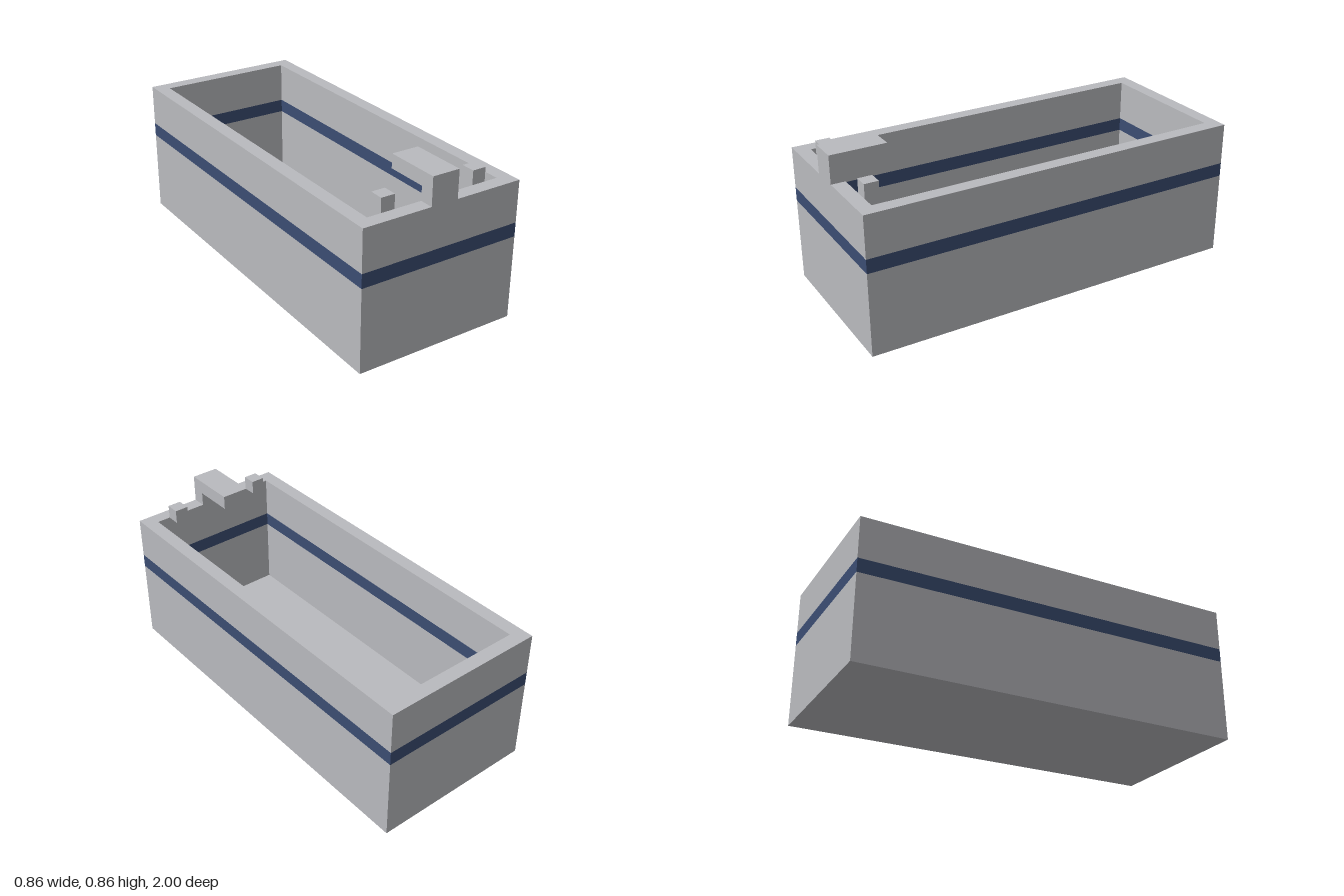
import * as THREE from 'three';

// All sizes are in whole blocks; 14 blocks make one unit
const U = 1 / 14;
const HALF_W = 6, HALF_L = 14, WALL = 1;

const enamel = new THREE.MeshStandardMaterial({ color: 0xb9babe });
enamel.name = 'pale grey enamel';
const navy = new THREE.MeshStandardMaterial({ color: 0x3b4d72 });
navy.name = 'navy blue';

// Box given by its lower and upper corners
function block(name, [x0, y0, z0], [x1, y1, z1], material = enamel) {
  const geometry = new THREE.BoxGeometry((x1 - x0) * U, (y1 - y0) * U, (z1 - z0) * U);
  const mesh = new THREE.Mesh(geometry, material);
  mesh.position.set((x0 + x1) / 2 * U, (y0 + y1) / 2 * U, (z0 + z1) / 2 * U);
  mesh.name = name;
  return mesh;
}

function rectangle(path, w, l) {
  path.moveTo(-w * U, -l * U);
  path.lineTo(w * U, -l * U);
  path.lineTo(w * U, l * U);
  path.lineTo(-w * U, l * U);
  path.closePath();
  return path;
}

// Rectangular ring of wall between two heights
function wallRing(name, y0, y1, material) {
  const shape = rectangle(new THREE.Shape(), HALF_W, HALF_L);
  shape.holes.push(rectangle(new THREE.Path(), HALF_W - WALL, HALF_L - WALL));
  const geometry = new THREE.ExtrudeGeometry(shape, { depth: (y1 - y0) * U, bevelEnabled: false });
  geometry.rotateX(-Math.PI / 2);
  const mesh = new THREE.Mesh(geometry, material);
  mesh.position.y = y0 * U;
  mesh.name = name;
  return mesh;
}

export function createModel() {
  const tub = new THREE.Group();
  tub.name = 'bathtub';

  // Floor and the walls, with the coloured band running right through them
  tub.add(
    block('floor', [-HALF_W, 0, -HALF_L], [HALF_W, 1, HALF_L]),
    wallRing('lowerWall', 1, 6, enamel),
    wallRing('band', 6, 7, navy),
    wallRing('upperWall', 7, 10, enamel),
  );

  // Spout: an L-shaped side profile extruded across its width
  const profile = new THREE.Shape(
    [[13, 10], [14, 10], [14, 12], [10, 12], [10, 11], [13, 11]]
      .map(([z, y]) => new THREE.Vector2(z * U, y * U)));
  const spoutGeometry = new THREE.ExtrudeGeometry(profile, { depth: 2 * U, bevelEnabled: false });
  spoutGeometry.translate(0, 0, -U).rotateY(-Math.PI / 2);
  const spout = new THREE.Mesh(spoutGeometry, enamel);
  spout.name = 'spout';
  tub.add(spout);

  // Tap knobs on the inner edge of the rim
  tub.add(
    block('leftTap', [3, 10, 12], [4, 11, 13]),
    block('rightTap', [-4, 10, 12], [-3, 11, 13]),
  );
  return tub;
}
